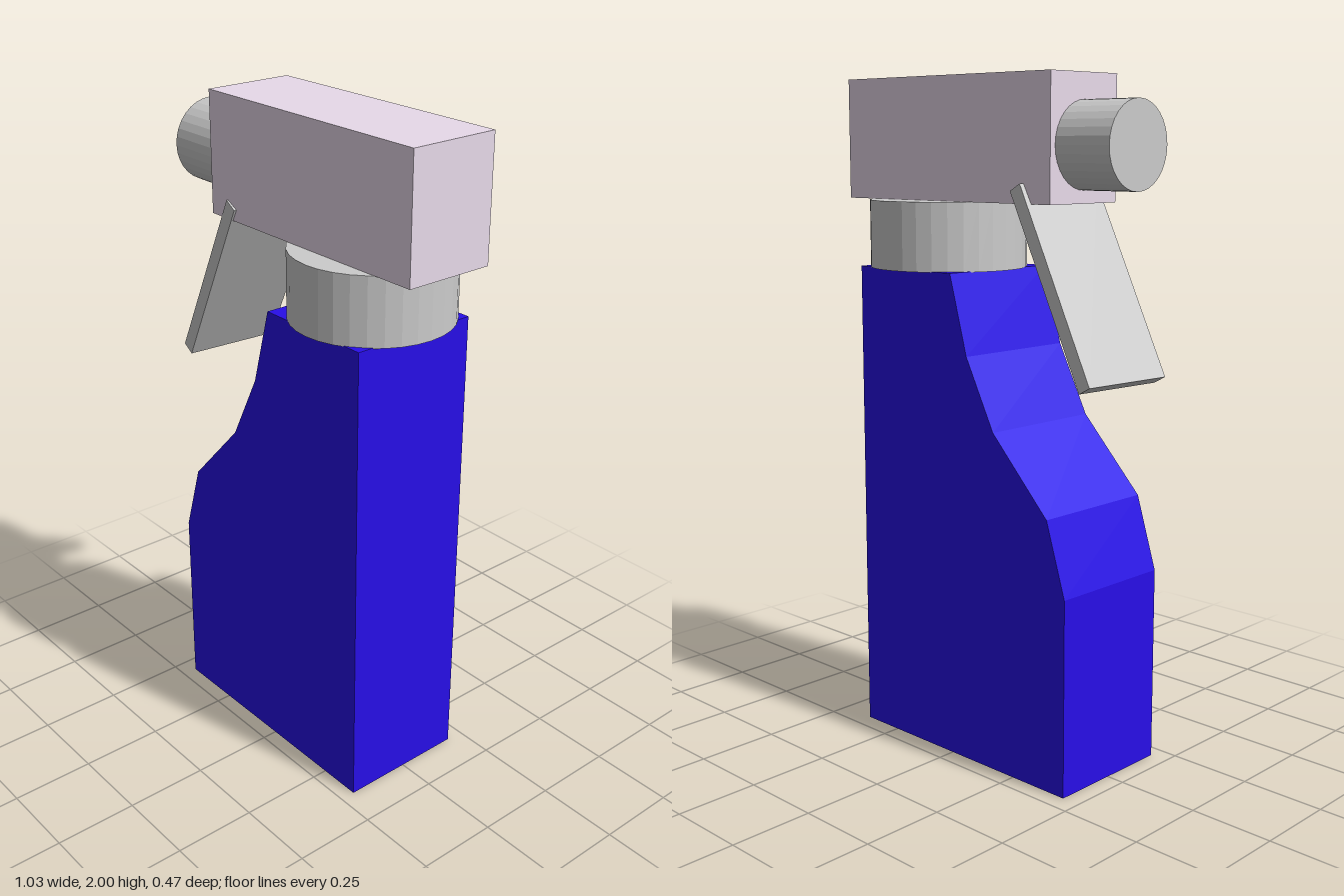
import * as THREE from 'three';

const grey = new THREE.MeshStandardMaterial({ color: 0xcccccc, flatShading: true });
const blue = new THREE.MeshStandardMaterial({ color: 0x280ee8, flatShading: true });
const mauve = new THREE.MeshStandardMaterial({ color: 0xe8daea, flatShading: true });

function addPart(group, name, geometry, material, x, y, z) {
  const mesh = new THREE.Mesh(geometry, material);
  mesh.name = name;
  mesh.position.set(x, y, z);
  group.add(mesh);
  return mesh;
}

export function createModel() {
  const model = new THREE.Group();
  model.name = 'sprayBottle';

  // Bottle: side profile with a faceted shoulder, extruded through its depth
  const profile = [
    [-0.445, 0], [0.383, 0], [0.383, 1.447], [0, 1.447],
    [-0.065, 1.215], [-0.17, 1.01], [-0.375, 0.795], [-0.443, 0.58],
  ].map(([x, y]) => new THREE.Vector2(x, y));
  const depth = 0.4;
  const body = new THREE.ExtrudeGeometry(new THREE.Shape(profile), { depth, bevelEnabled: false });
  addPart(model, 'bottle', body, blue, 0, 0, 0.004 - depth / 2);

  // Screw collar between bottle and head
  addPart(model, 'collar', new THREE.CylinderGeometry(0.236, 0.236, 0.2, 32), grey, 0.206, 1.545, 0);

  // Spray head
  addPart(model, 'sprayHead', new THREE.BoxGeometry(0.828, 0.355, 0.276), mauve, 0.102, 1.8225, 0.017);

  // Nozzle pointing towards -x
  const nozzle = addPart(model, 'nozzle', new THREE.CylinderGeometry(0.123, 0.123, 0.21, 32), grey, -0.395, 1.804, 0.021);
  nozzle.rotation.z = Math.PI / 2;

  // Trigger: slanted plate, turned slightly about the vertical
  const trigger = addPart(model, 'trigger', new THREE.BoxGeometry(0.045, 0.6, 0.296), grey, -0.345, 1.425, 0.002);
  trigger.rotation.set(0, -0.085, -0.485);

  return model;
}
